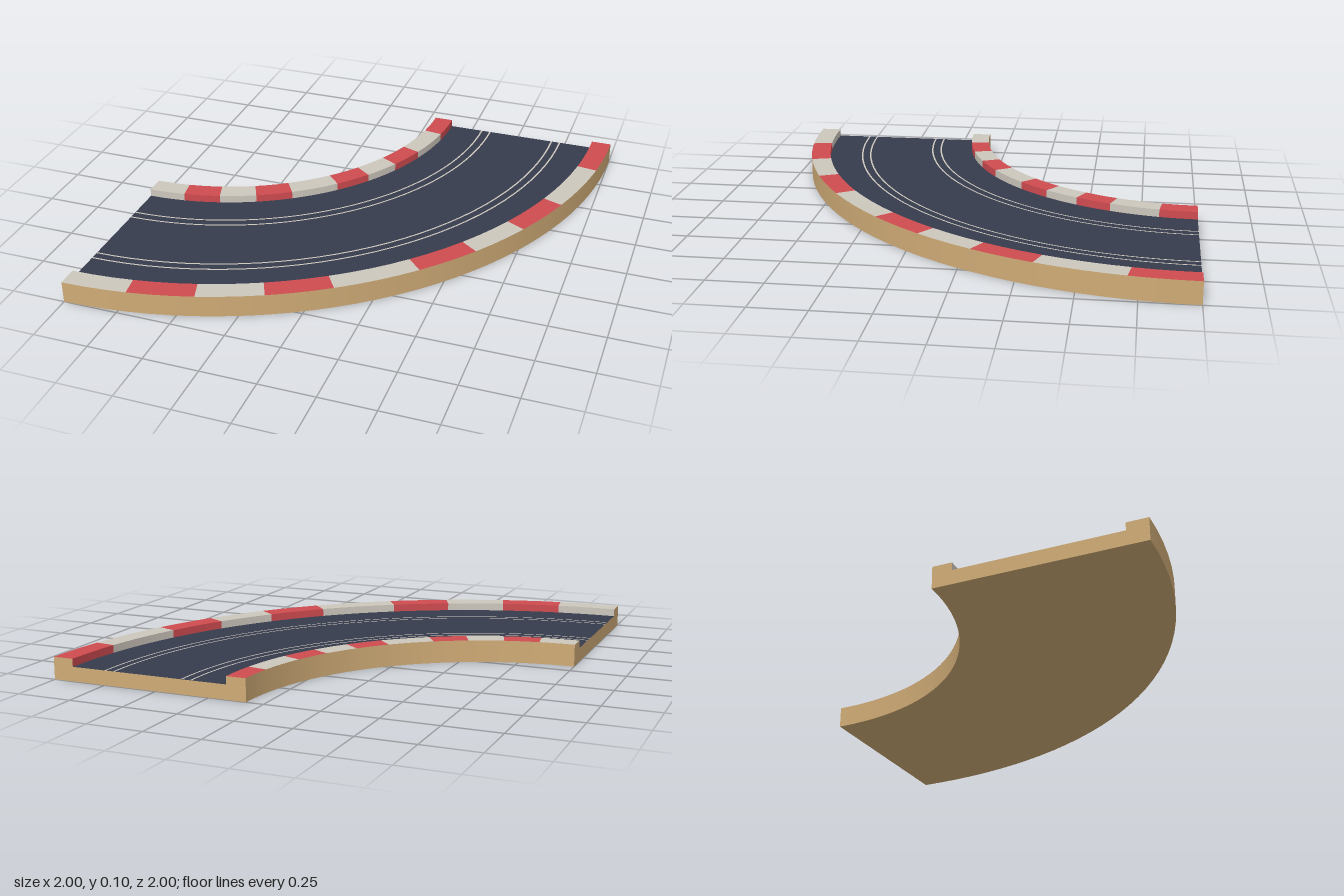
import * as THREE from 'three';
import { mergeGeometries } from 'three/addons/utils/BufferGeometryUtils.js';

const STEPS = 32;                                  // facets in the quarter turn
const R = { in: 1.078, roadIn: 1.167, roadOut: 1.905, out: 2 };
const Y = { road: 0.065, top: 0.1 };
const CURB_BREAKS = [0, 3, 7, 10, 13, 16, 20, 23, 26, 29, 32];

const mat = (name, color) => new THREE.MeshStandardMaterial({ name, color });

// Sweeps one profile edge (r, y) -> (r, y) around the bend, between two steps
function sweep(a, b, from = 0, to = STEPS) {
  const step = Math.PI / 2 / STEPS;
  return new THREE.LatheGeometry(
    [new THREE.Vector2(...a), new THREE.Vector2(...b)],
    to - from, Math.PI / 2 - to * step, (to - from) * step);
}

// U-shaped cross-section of the track, optionally mirrored
function section(sign) {
  const pts = [[R.in, 0], [R.out, 0], [R.out, Y.top], [R.roadOut, Y.top],
    [R.roadOut, Y.road], [R.roadIn, Y.road], [R.roadIn, Y.top], [R.in, Y.top]];
  return new THREE.ShapeGeometry(
    new THREE.Shape(pts.map(([r, y]) => new THREE.Vector2(sign * r, y))));
}

export function createModel() {
  const wood = mat('wood', 0xcfab76);
  const asphalt = mat('asphalt', 0x363c4d);
  const red = mat('curbRed', 0xcf4b50);
  const white = mat('curbWhite', 0xcdc7bd);

  const group = new THREE.Group();
  group.name = 'curvedTrack';
  const add = (name, parts, material) => {
    const mesh = new THREE.Mesh(mergeGeometries(parts), material);
    mesh.name = name;
    mesh.position.set(-1, 0, -1);                  // centre of the bend
    group.add(mesh);
  };

  // Wooden body: outer wall, inner wall, underside and both ends
  add('body', [
    sweep([R.out, 0], [R.out, Y.top]),
    sweep([R.in, Y.top], [R.in, 0]),
    sweep([R.in, 0], [R.out, 0]),
    section(-1).rotateY(Math.PI),
    section(1).rotateY(-Math.PI / 2),
  ], wood);

  // Sunken road surface
  add('road', [sweep([R.roadOut, Y.road], [R.roadIn, Y.road])], asphalt);

  // Two pairs of lane lines
  const y = Y.road + 0.001;
  add('laneLines', [1.33, 1.374, 1.699, 1.741].map(
    r => sweep([r + 0.004, y], [r - 0.004, y])), white);

  // Raised curbs in alternating colours: top plus the wall facing the road
  for (let i = 0; i < CURB_BREAKS.length - 1; i++) {
    const from = CURB_BREAKS[i], to = CURB_BREAKS[i + 1];
    const paint = i % 2 ? white : red;
    add('outerCurb' + i, [
      sweep([R.out, Y.top], [R.roadOut, Y.top], from, to),
      sweep([R.roadOut, Y.top], [R.roadOut, Y.road], from, to),
    ], paint);
    add('innerCurb' + i, [
      sweep([R.roadIn, Y.top], [R.in, Y.top], from, to),
      sweep([R.roadIn, Y.road], [R.roadIn, Y.top], from, to),
    ], paint);
  }
  return group;
}
